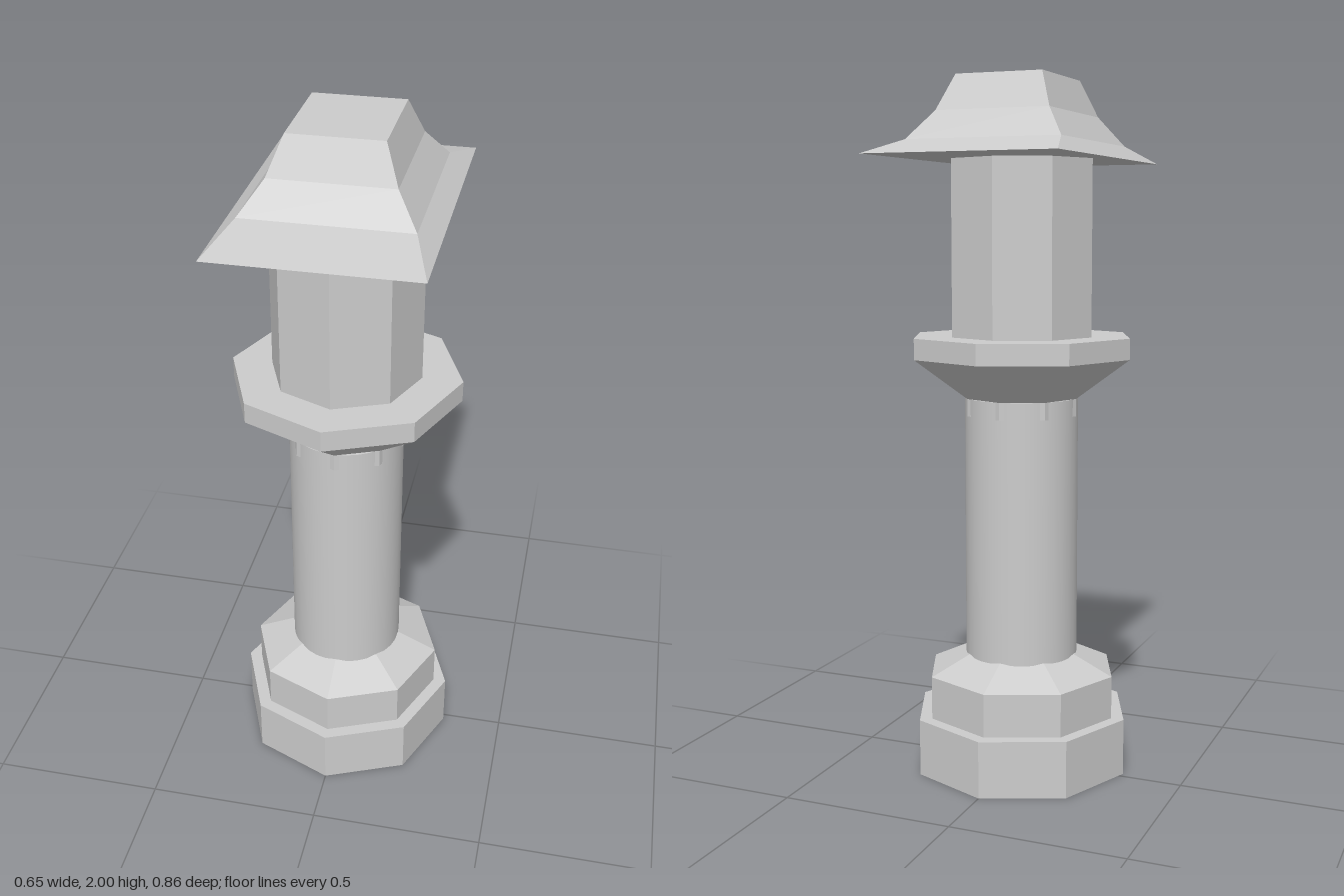
import * as THREE from 'three';

const grey = new THREE.MeshStandardMaterial({ color: 0xcccccc });
const greyFlat = new THREE.MeshStandardMaterial({ color: 0xcccccc, flatShading: true });
const AXIS_Z = 0.018; // the pillar sits slightly forward of the roof centre

function faceted(geometry) {
  const flat = geometry.toNonIndexed();
  flat.computeVertexNormals();
  return flat;
}

function part(name, geometry, material = greyFlat) {
  const mesh = new THREE.Mesh(geometry, material);
  mesh.name = name;
  return mesh;
}

// Eight-sided turned part; profile is [radius, height] from bottom to top
function octagon(name, profile) {
  const points = profile.map(([r, y]) => new THREE.Vector2(r, y));
  return part(name, faceted(new THREE.LatheGeometry(points, 8)));
}

// Hollow-curved hip roof: a box whose rings follow [height, half width, half depth]
function roofGeometry() {
  const rings = [
    [1.775, 0.277, 0.428],
    [1.82, 0.225, 0.265],
    [1.9, 0.166, 0.197],
    [2.0, 0.127, 0.149],
  ];
  const geometry = new THREE.BoxGeometry(2, 3, 2, 1, 3, 1);
  const pos = geometry.attributes.position;
  for (let i = 0; i < pos.count; i++) {
    const [y, w, d] = rings[Math.round(pos.getY(i) + 1.5)];
    pos.setXYZ(i, pos.getX(i) * w, y, pos.getZ(i) * d);
  }
  return faceted(geometry);
}

export function createModel() {
  const model = new THREE.Group();
  model.name = 'lanternPillar';

  const pillar = new THREE.Group();
  pillar.name = 'pillar';
  pillar.position.z = AXIS_Z;

  // Stepped base with a sloped shoulder
  pillar.add(octagon('base', [
    [0, 0], [0.321, 0], [0.321, 0.165], [0.283, 0.165],
    [0.283, 0.29], [0.165, 0.345], [0, 0.345],
  ]));

  // Smooth round shaft
  const shaft = part('shaft', new THREE.CylinderGeometry(0.164, 0.164, 0.76, 32), grey);
  shaft.position.y = 0.72;
  pillar.add(shaft);

  // Neck and flared collar
  pillar.add(octagon('collar', [
    [0, 1.05], [0.168, 1.05], [0.168, 1.1], [0.327, 1.217],
    [0.327, 1.277], [0, 1.277],
  ]));

  // Eight-sided chamber under the roof
  pillar.add(octagon('chamber', [[0, 1.27], [0.213, 1.27], [0.213, 1.78], [0, 1.78]]));

  model.add(pillar, part('roof', roofGeometry()));
  return model;
}
